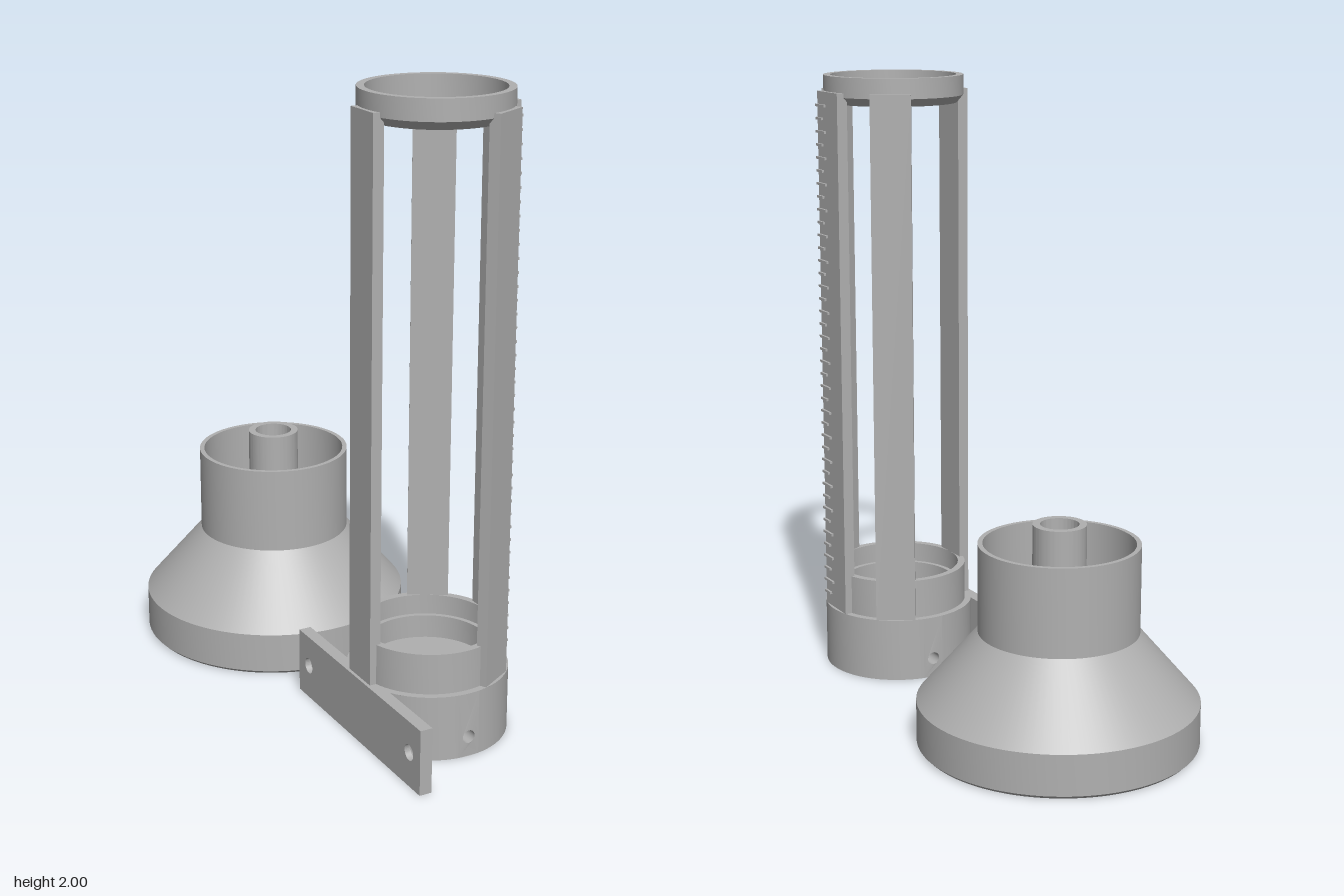
import * as THREE from 'three';
import { toCreasedNormals } from 'three/addons/utils/BufferGeometryUtils.js';

const SEG = 72;

export function createModel() {
  const grey = new THREE.MeshStandardMaterial({ color: 0xb0b0b0, side: THREE.DoubleSide });
  grey.name = 'grey plastic';

  const part = (parent, name, geo) => {
    const mesh = new THREE.Mesh(geo, grey);
    mesh.name = name;
    parent.add(mesh);
    return mesh;
  };
  // turned profile with sharp edges
  const turn = (pts, seg = SEG, start = 0, sweep = Math.PI * 2) =>
    toCreasedNormals(new THREE.LatheGeometry(pts.map(p => new THREE.Vector2(...p)), seg, start, sweep), 0.35);
  const circle = (x, y, r) => new THREE.Path().absarc(x, y, r, 0, Math.PI * 2, true);
  const rect = (x0, y0, x1, y1) => new THREE.Shape(
    [[x0, y0], [x1, y0], [x1, y1], [x0, y1]].map(p => new THREE.Vector2(...p)));

  const model = new THREE.Group();
  model.name = 'rainGauge';

  // funnel resting mouth down, with collar and spout
  part(model, 'funnel', turn([
    [0.43, 0], [0.44, 0.01], [0.44, 0.14], [0.25, 0.36], [0.25, 0.64], [0.235, 0.64],
    [0.235, 0.377], [0.083, 0.553], [0.083, 0.7], [0.06, 0.7], [0.06, 0.55],
    [0.42, 0.135], [0.42, 0], [0.43, 0],
  ], 96)).position.set(0, 0, -0.425);

  // tube holder, turned slightly about its own axis
  const holder = new THREE.Group();
  holder.name = 'tubeHolder';
  holder.position.set(0.035, 0, 0.487);
  holder.rotation.y = -0.05;
  model.add(holder);

  // base: cup on top, wall halves, drilled patches front and back
  const R = 0.25, H = 0.21, gap = 0.14, holeY = 0.065, holeR = 0.021;
  part(holder, 'baseCup', turn([
    [R, H], [0.228, H], [0.228, 0.34], [0.205, 0.34], [0.205, 0.275],
    [0.19, 0.275], [0.19, 0.2], [0, 0.2],
  ]));
  for (const side of [0, Math.PI]) {
    part(holder, 'baseWall', turn([[R, 0], [R, H]], SEG / 2, side + gap, Math.PI - 2 * gap));

    const w = R * Math.sin(gap);
    const patch = rect(-w, 0, w, H);
    patch.holes.push(circle(0, holeY, holeR));
    const geo = new THREE.ShapeGeometry(patch, 12);
    const pos = geo.attributes.position;
    for (let i = 0; i < pos.count; i++) pos.setZ(i, Math.sqrt(R * R - pos.getX(i) ** 2));
    geo.computeVertexNormals();
    part(holder, 'drilledWall', geo).rotation.y = side;

    const bore = new THREE.CylinderGeometry(holeR, holeR, 0.187, 24, 1, true);
    bore.rotateX(Math.PI / 2).translate(0, holeY, 0.156);
    part(holder, 'drainBore', bore).rotation.y = side;
  }

  // underside with a square pocket
  const half = 0.0625;
  const disc = new THREE.Shape().absarc(0, 0, R, 0, Math.PI * 2);
  disc.holes.push(rect(-half, -half, half, half));
  part(holder, 'underside', new THREE.ShapeGeometry(disc, 36).rotateX(Math.PI / 2));
  const corner = half * Math.SQRT2;
  part(holder, 'squarePocket', turn([[0, 0.1], [corner, 0.1], [corner, 0]], 4, Math.PI / 4));

  // four uprights, the one at angle zero carries the scale
  for (const deg of [0, 60, 180, -60]) {
    const width = deg === 0 ? 0.145 : 0.13;
    const geo = new THREE.BoxGeometry(0.035, 1.74, width).translate(0.2225, 1.08, 0);
    part(holder, deg === 0 ? 'scaleUpright' : 'upright', geo).rotation.y = -deg * Math.PI / 180;
  }

  // raised scale marks, alternating long and short
  const count = 40;
  for (let i = 0; i < count; i++) {
    const len = i % 2 ? 0.062 : 0.042;
    part(holder, 'scaleMark', new THREE.BoxGeometry(0.009, 0.008, len))
      .position.set(0.2435, 0.255 + i * (1.65 / (count - 1)), 0.0725 - len / 2);
  }

  // top ring with a bevelled lower edge
  part(holder, 'topRing', turn([
    [0.207, 1.91], [0.228, 1.935], [0.228, 2], [0.205, 2], [0.205, 1.91], [0.207, 1.91],
  ]));

  // mounting plate with two countersunk screw holes
  const plate = rect(-0.385, 0, 0.385, H);
  for (const s of [-1, 1]) plate.holes.push(circle(s * 0.32, 0.11, 0.04));
  const plateGeo = new THREE.ExtrudeGeometry(plate, { depth: 0.04, bevelEnabled: false, curveSegments: 16 });
  plateGeo.rotateY(Math.PI / 2).translate(-0.25, 0, 0);
  part(holder, 'mountingPlate', toCreasedNormals(plateGeo, 0.5));
  for (const s of [-1, 1]) {
    const sink = turn([[0.04, 0.04], [0.025, 0.02], [0.025, 0], [0.04, 0]], 32);
    part(holder, 'countersink', sink.rotateZ(-Math.PI / 2)).position.set(-0.25, 0.11, s * 0.32);
  }

  return model;
}
